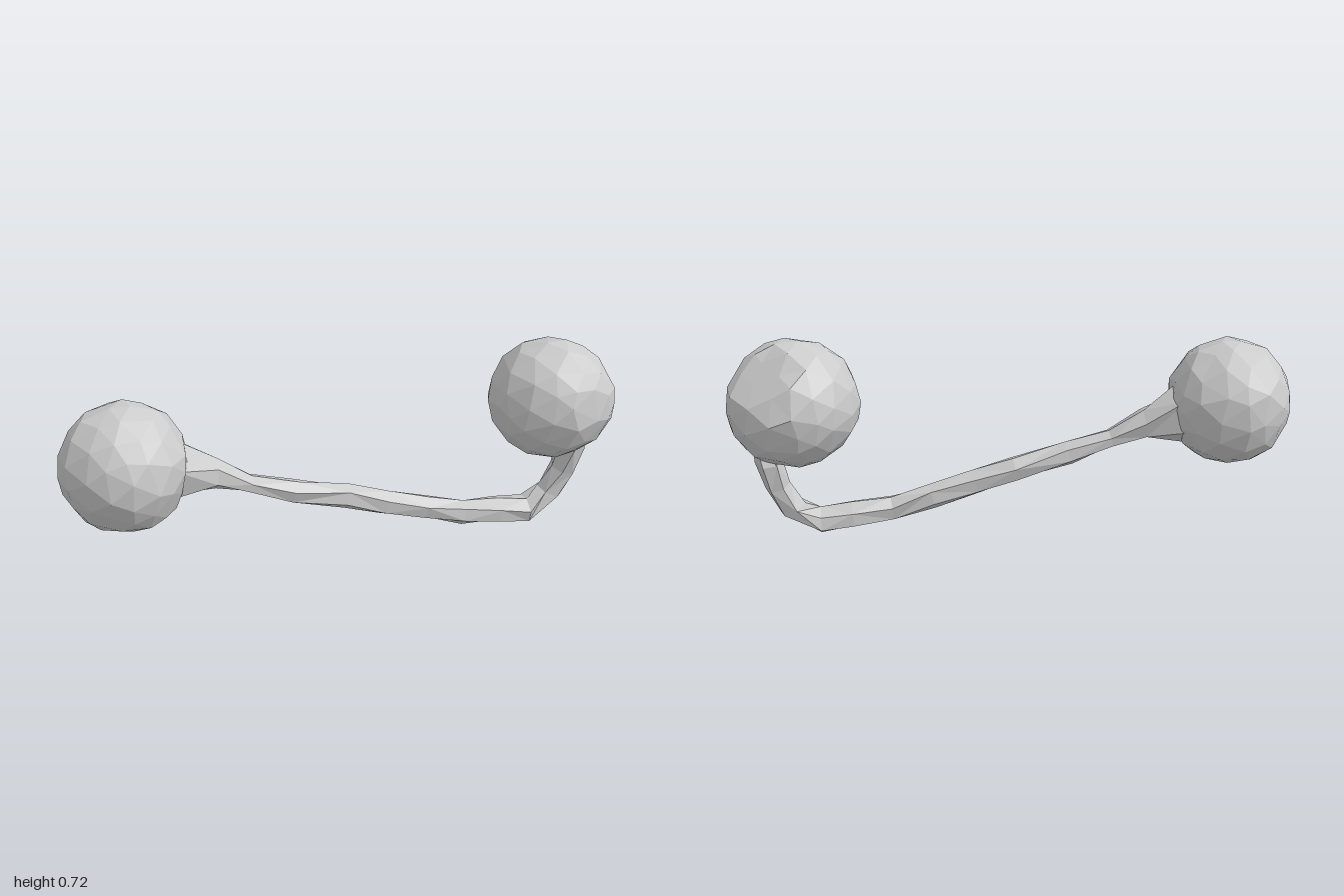
import * as THREE from 'three';
import { mergeVertices } from 'three/addons/utils/BufferGeometryUtils.js';

const material = new THREE.MeshStandardMaterial({ color: 0xcccccc, flatShading: true });

// Small seeded generator for the hand-hewn irregularity
function seeded(seed) {
  return () => (seed = (seed * 16807) % 2147483647) / 2147483647;
}

// Faceted ball; each cut [nx, ny, nz, distance] flattens one patch of it
function makeBall(name, center, radii, seed, cuts) {
  let geo = new THREE.IcosahedronGeometry(1, 2);
  geo.deleteAttribute('normal');
  geo.deleteAttribute('uv');
  geo = mergeVertices(geo, 1e-4);
  const rand = seeded(seed);
  const pos = geo.attributes.position;
  const v = new THREE.Vector3(), n = new THREE.Vector3();
  for (let i = 0; i < pos.count; i++) {
    v.fromBufferAttribute(pos, i);
    v.x += (rand() - 0.5) * 0.16;
    v.y += (rand() - 0.5) * 0.16;
    v.z += (rand() - 0.5) * 0.16;
    v.normalize().multiplyScalar(0.985 + rand() * 0.03);
    v.multiply(n.set(...radii));
    for (const [x, y, z, d] of cuts) {
      n.set(x, y, z).normalize();
      const over = v.dot(n) - d;
      if (over > 0) v.addScaledVector(n, -over);
    }
    pos.setXYZ(i, v.x, v.y, v.z);
  }
  geo.computeVertexNormals();
  const mesh = new THREE.Mesh(geo, material);
  mesh.name = name;
  mesh.position.set(...center);
  return mesh;
}

// Bent bar lofted through sections: [upper x, y, lower x, y, back z, front z]
function makeBar() {
  const sections = [
    [-0.72, 0.54, -0.72, 0.28, -0.12, 0.10],
    [-0.59, 0.51, -0.64, 0.28, -0.105, 0.085],
    [-0.46, 0.415, -0.47, 0.305, -0.06, 0.05],
    [-0.34, 0.335, -0.35, 0.275, -0.042, 0.045],
    [-0.18, 0.295, -0.21, 0.215, -0.04, 0.05],
    [0.01, 0.25, -0.01, 0.16, -0.04, 0.047],
    [0.16, 0.205, 0.13, 0.115, -0.034, 0.055],
    [0.31, 0.16, 0.29, 0.07, -0.033, 0.045],
    [0.45, 0.12, 0.44, 0.027, -0.025, 0.055],
    [0.59, 0.11, 0.58, 0.015, -0.05, 0.065],
    [0.70, 0.095, 0.70, 0.003, -0.055, 0.065],
    [0.75, 0.13, 0.84, 0.09, -0.055, 0.045],
    [0.80, 0.21, 0.885, 0.19, -0.06, 0.05],
    [0.82, 0.30, 0.915, 0.30, -0.078, 0.065],
    [0.81, 0.40, 0.92, 0.38, -0.075, 0.065],
  ];
  const sides = 6, positions = [], index = [];
  sections.forEach(([ux, uy, lx, ly, back, front], s) => {
    for (let k = 0; k < sides; k++) {
      // Shift the corners slightly along the bar so the facets twist
      const a = (k / sides) * Math.PI * 2 + 0.22 * Math.sin(s * 2.1);
      const t = 0.5 + 0.5 * Math.cos(a), w = 0.5 + 0.55 * Math.sin(a);
      positions.push(lx + (ux - lx) * t, ly + (uy - ly) * t, back + (front - back) * w);
    }
  });
  for (let s = 0; s < sections.length - 1; s++) {
    for (let k = 0; k < sides; k++) {
      const a = s * sides + k, b = s * sides + (k + 1) % sides;
      const c = a + sides, d = b + sides;
      if ((s + k) % 2) index.push(a, b, c, b, d, c);
      else index.push(a, b, d, a, d, c);
    }
  }
  // End caps, hidden inside the balls
  const last = (sections.length - 1) * sides;
  for (let k = 1; k < sides - 1; k++) {
    index.push(0, k + 1, k, last, last + k, last + k + 1);
  }
  const geo = new THREE.BufferGeometry();
  geo.setAttribute('position', new THREE.Float32BufferAttribute(positions, 3));
  geo.setIndex(index);
  geo.computeVertexNormals();
  const mesh = new THREE.Mesh(geo, material);
  mesh.name = 'bentBar';
  return mesh;
}

export function createModel() {
  const group = new THREE.Group();
  group.name = 'bentBarWithBalls';
  group.add(makeBar());
  group.add(makeBall('rightBall', [-0.775, 0.43, -0.003], [0.226, 0.229, 0.229], 4711, [
    [1, -0.2, 0.2, 0.205],
    [-0.4, -0.5, 0.8, 0.215],
  ]));
  group.add(makeBall('leftBall', [0.77, 0.505, 0.002], [0.231, 0.222, 0.226], 1234, [
    [0.5, 0.75, -0.6, 0.185],
    [0.2, -0.6, 0.75, 0.215],
  ]));
  return group;
}
